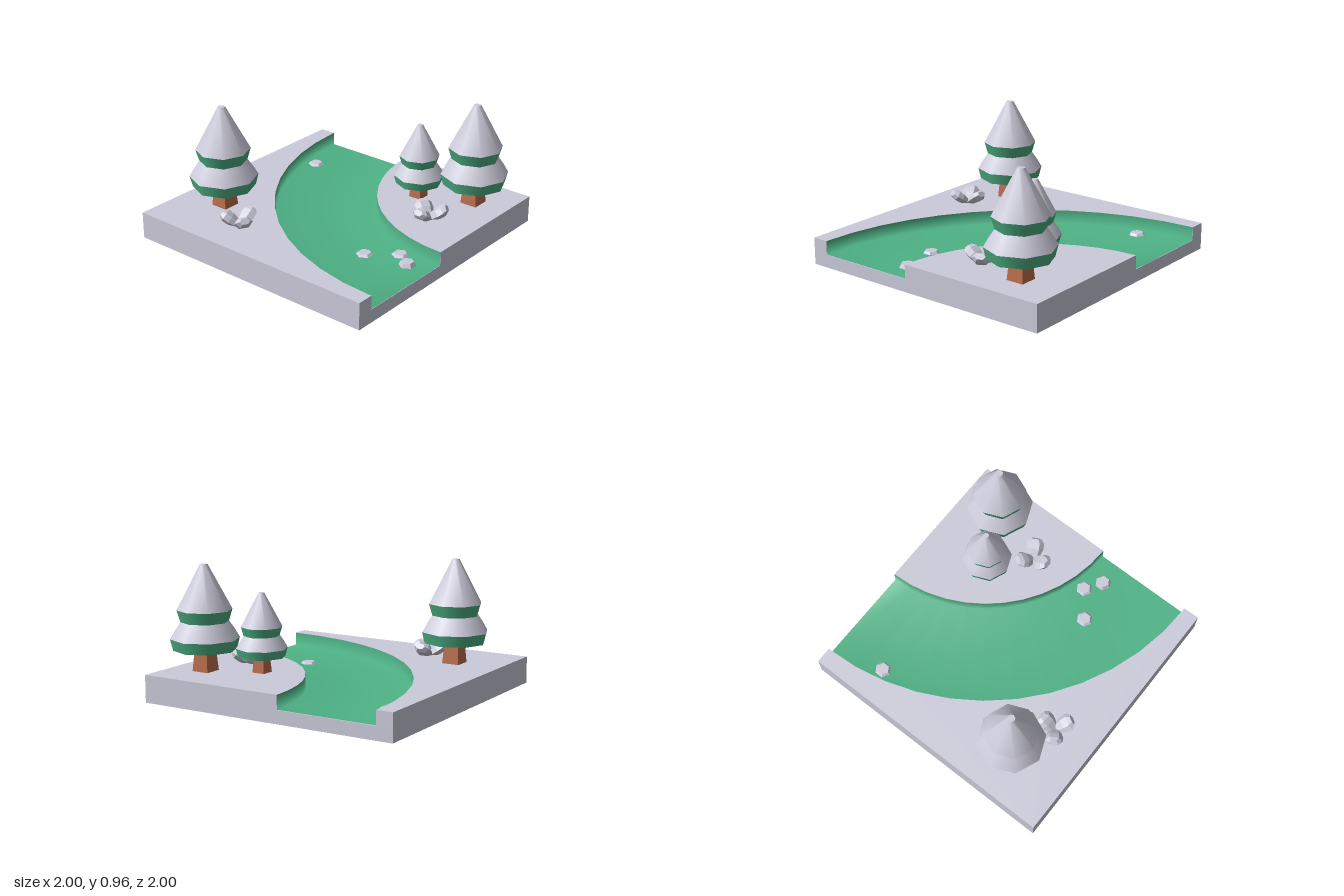
import * as THREE from 'three';

const material = (name, color) => Object.assign(new THREE.MeshStandardMaterial({ color }), { name });

// Faceted normals without touching the shared material
function faceted(geometry) {
  const g = geometry.toNonIndexed();
  g.computeVertexNormals();
  return g;
}

function add(parent, name, geometry, mat) {
  const mesh = new THREE.Mesh(geometry, mat);
  mesh.name = name;
  parent.add(mesh);
  return mesh;
}

const lathe = (points, sides) =>
  new THREE.LatheGeometry(points.map(([r, y]) => new THREE.Vector2(r, y)), sides);

// Quarter arc around the front right corner, in plan (x, -z)
const STEPS = 12;
function arc(radius) {
  return Array.from({ length: STEPS + 1 }, (_, i) => {
    const a = (i / STEPS) * Math.PI / 2;
    return new THREE.Vector2(1 - radius * Math.cos(a), -1 + radius * Math.sin(a));
  });
}

function bank(points) {
  const g = new THREE.ExtrudeGeometry(new THREE.Shape(points), { depth: 0.103, bevelEnabled: false });
  return g.rotateX(-Math.PI / 2).translate(0, 0.097, 0);
}

// Sunken curved bed: wall, floor and wall swept along the arc
function channelGeometry() {
  const section = [[1.875, 0.2], [1.875, 0.1], [1.125, 0.1], [1.125, 0.2]];
  const arcs = section.map(([r]) => arc(r));
  const positions = [], index = [];
  for (let i = 0; i <= STEPS; i++) {
    section.forEach(([, y], j) => positions.push(arcs[j][i].x, y, -arcs[j][i].y));
    if (i === STEPS) break;
    for (let j = 0; j < 3; j++) {
      const a = i * 4 + j;
      index.push(a, a + 1, a + 4, a + 1, a + 5, a + 4);
    }
  }
  const g = new THREE.BufferGeometry();
  g.setAttribute('position', new THREE.Float32BufferAttribute(positions, 3));
  g.setIndex(index);
  g.computeVertexNormals();
  return g;
}

export function createModel() {
  const model = new THREE.Group();
  model.name = 'snowyPathCorner';
  const snow = material('snow', 0xcccbda);
  const green = material('green', 0x4eb286);
  const wood = material('wood', 0xb96e4d);

  // Ground
  add(model, 'groundSlab', new THREE.BoxGeometry(2, 0.097, 2).translate(0, 0.0485, 0), snow);
  const corner = (x, y) => new THREE.Vector2(x, y);
  add(model, 'outerBank', bank([...arc(1.878), corner(1, 1), corner(-1, 1), corner(-1, -1)]), snow);
  add(model, 'innerBank', bank([...arc(1.122), corner(1, -1)]), snow);
  add(model, 'channel', channelGeometry(), green);

  // Trees: tapered square trunk and two snow-topped tiers
  function tree(x, z, scale) {
    const group = new THREE.Group();
    group.name = 'tree';
    const trunk = new THREE.CylinderGeometry(0.054 * Math.SQRT2, 0.066 * Math.SQRT2, 0.155, 4, 1);
    add(group, 'trunk', faceted(trunk.rotateY(Math.PI / 4).translate(0, 0.0775, 0)), wood);
    add(group, 'foliageUnderside', lathe([[0, 0.153], [0.227, 0.153]], 8), green);
    add(group, 'lowerNeedles', lathe([[0.227, 0.153], [0.248, 0.235]], 8), green);
    add(group, 'lowerSnow', lathe([[0.248, 0.235], [0.21, 0.3], [0.172, 0.355]], 8), snow);
    add(group, 'upperNeedles', lathe([[0.172, 0.355], [0.198, 0.44]], 8), green);
    add(group, 'upperSnow', lathe([[0.198, 0.44], [0.027, 0.763]], 8), snow);
    add(group, 'treeTip', lathe([[0.027, 0.763], [0, 0.763]], 8), snow);
    group.position.set(x, 0.2, z);
    group.scale.setScalar(scale);
    model.add(group);
  }
  tree(-0.52, -0.64, 1);
  tree(0.66, 0.73, 1);
  tree(0.49, 0.36, 0.745);

  // Rock clusters: three flattened blocks leaning outwards
  function rocks(x, z, turn) {
    const group = new THREE.Group();
    group.name = 'rockCluster';
    for (let i = 0; i < 3; i++) {
      const g = lathe([[0, 0], [0.03, 0], [0.047, 0.065], [0.047, 0.11], [0.028, 0.14], [0, 0.14]], 6);
      g.scale(0.85, 1, 1.4).rotateZ(-0.95).translate(0.015, 0, 0);
      add(group, 'rock', faceted(g), snow).rotation.y = turn + i * Math.PI * 2 / 3;
    }
    group.position.set(x, 0.2, z);
    model.add(group);
  }
  rocks(-0.685, -0.335, 0);
  rocks(0.255, 0.625, Math.PI);

  // Low hexagonal stones on the channel floor
  const stones = [[0.61, -0.735, 0.017], [-0.325, 0.505, 0.017], [-0.175, 0.7, 0.017], [-0.26, 0.825, 0.03]];
  for (const [x, z, h] of stones) {
    const g = new THREE.CylinderGeometry(0.046, 0.062, h, 6).rotateY(Math.PI / 6);
    add(model, 'steppingStone', faceted(g), snow).position.set(x, 0.1 + h / 2, z);
  }
  return model;
}
